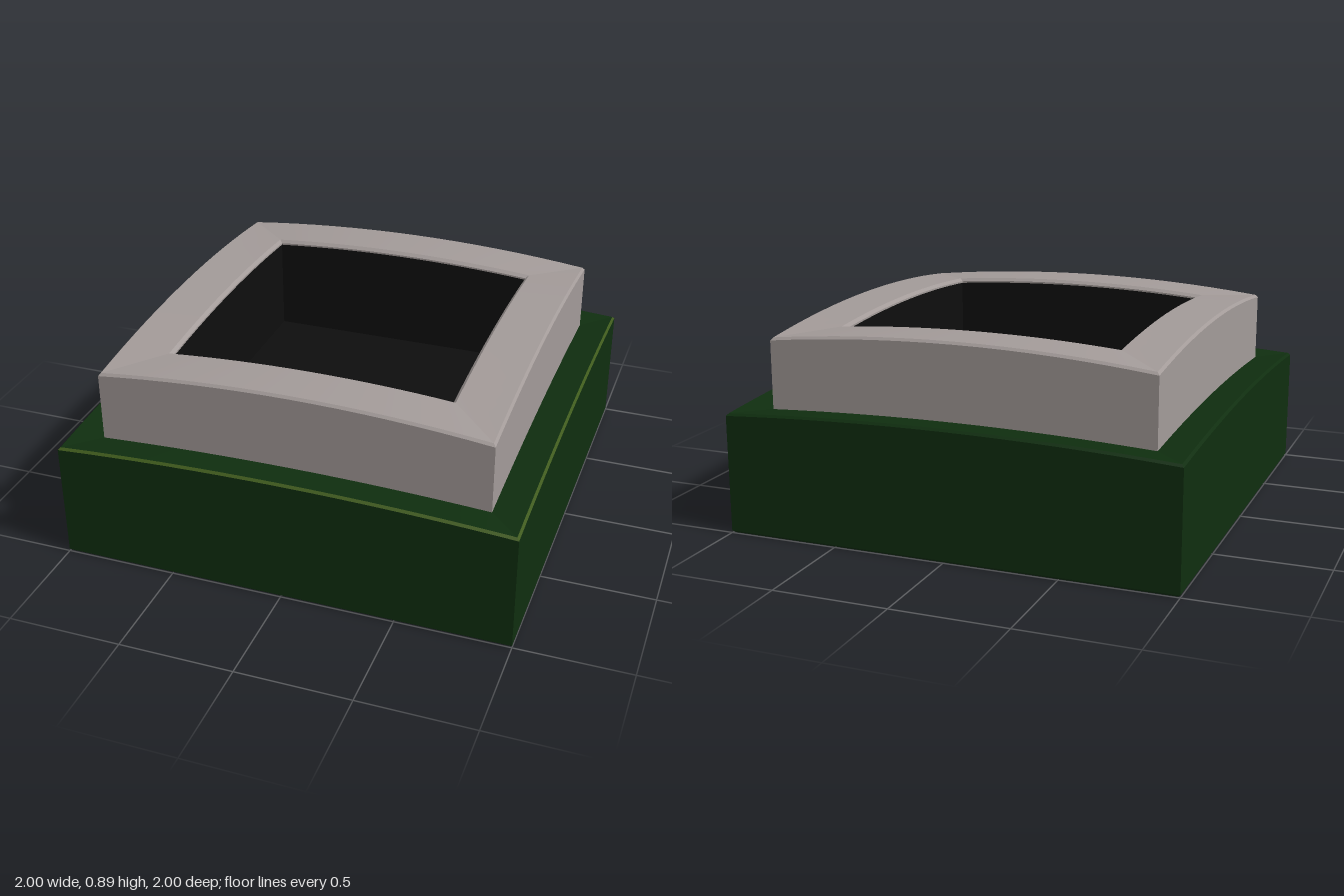
import * as THREE from 'three';

const mat = (name, color) => new THREE.MeshStandardMaterial({ name, color });

// Square ring lofted from a profile of [half width, height, crown].
// The crown lowers each side towards its corners along an arc.
// Each profile band keeps crisp edges but is smooth along its length.
function squareLoft(profile, sides = [0, 1, 2, 3], n = 16) {
  const pos = [], idx = [];
  for (const side of sides) {
    const a = side * Math.PI / 2, c = Math.round(Math.cos(a)), s = Math.round(Math.sin(a));
    for (let p = 0; p < profile.length - 1; p++) {
      const base = pos.length / 3;
      for (const [h, y, k] of [profile[p], profile[p + 1]]) {
        for (let i = 0; i <= n; i++) {
          const t = (i / n * 2 - 1) * h;
          pos.push(t * c + h * s, y - k * t * t, h * c - t * s);
        }
      }
      for (let i = 0; i < n; i++) {
        const q = base + i, r = q + n + 1;
        idx.push(q, q + 1, r + 1, q, r + 1, r);
      }
    }
  }
  const g = new THREE.BufferGeometry();
  g.setAttribute('position', new THREE.Float32BufferAttribute(pos, 3));
  g.setIndex(idx);
  g.computeVertexNormals();
  return g;
}

export function createModel() {
  const group = new THREE.Group();
  const green = mat('dark green', 0x0f2e0f);
  const olive = mat('olive trim', 0x3f5a1c);
  const grey = mat('warm grey', 0xa39b99);
  const black = mat('black', 0x0e0e0e);
  const add = (name, geometry, material) => {
    const m = new THREE.Mesh(geometry, material);
    m.name = name;
    group.add(m);
    return m;
  };

  // Base: walls, bevelled crowned rim and a ledge sloping inwards
  const bk = 0.035;
  const edge = [[1, 0.558, bk], [0.99, 0.568, bk]];
  add('baseWalls', squareLoft([[0.99, 0, 0], [1, 0.01, 0], edge[0]]), green);
  add('baseLedge', squareLoft([edge[1], [0.84, 0.555, bk]]), green);
  add('baseTrim', squareLoft(edge, [0, 1]), olive);
  add('baseBevel', squareLoft(edge, [2, 3]), green);

  // Raised frame with crowned top and bevelled opening
  const fk = 0.069;
  add('frame', squareLoft([
    [0.855, 0.5, 0], [0.855, 0.882, fk], [0.845, 0.893, fk],
    [0.632, 0.893, fk], [0.618, 0.88, fk], [0.618, 0.872, fk],
  ]), grey);

  // Dark lining of the cavity
  add('cavityWalls', squareLoft([[0.618, 0.872, fk], [0.618, 0.42, 0]]), black);
  const floor = add('cavityFloor', new THREE.PlaneGeometry(1.236, 1.236), black);
  floor.rotation.x = -Math.PI / 2;
  floor.position.y = 0.42;

  // Underside
  const bottom = add('underside', new THREE.PlaneGeometry(1.98, 1.98), black);
  bottom.rotation.x = Math.PI / 2;

  return group;
}
